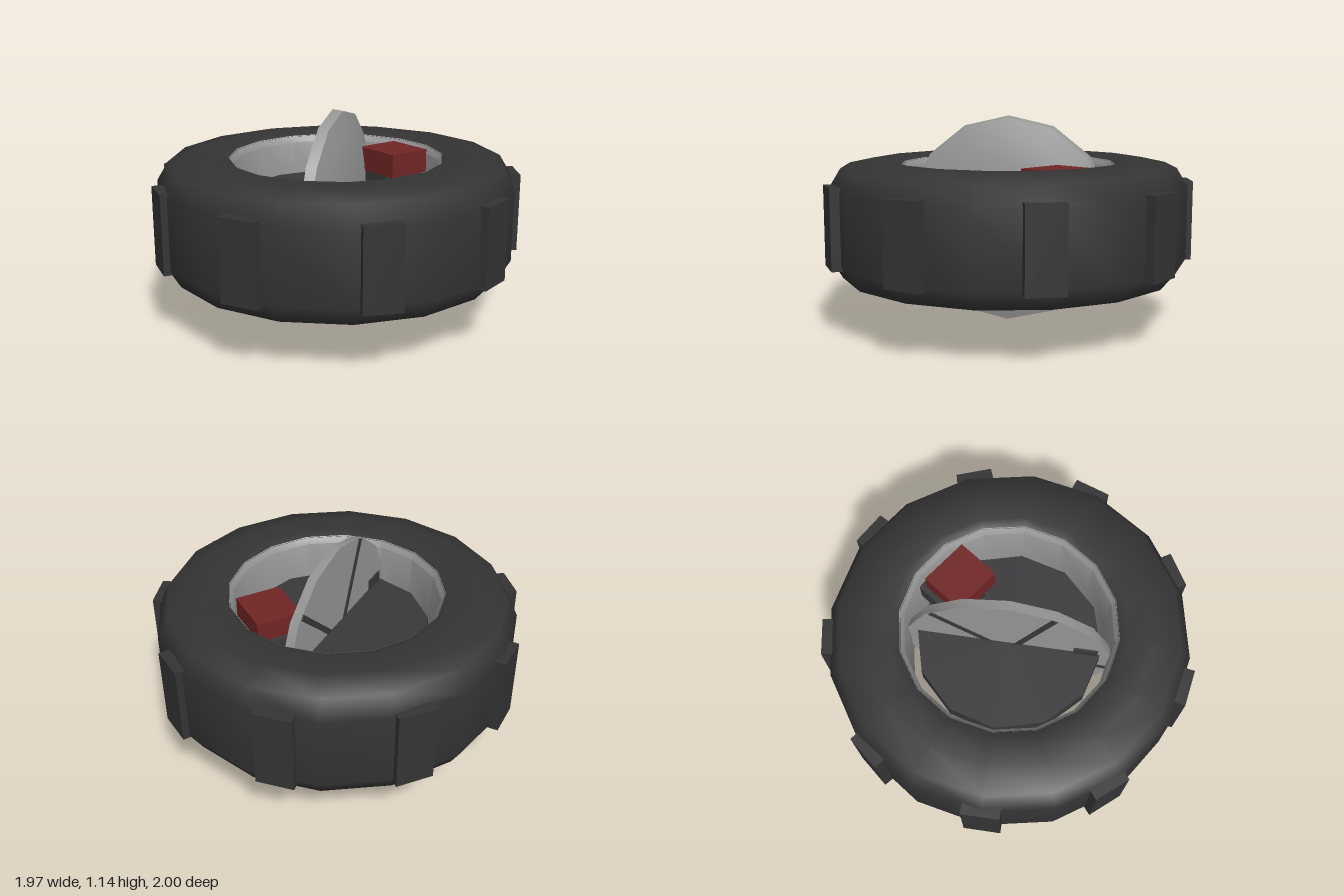
import * as THREE from 'three';
import { toCreasedNormals } from 'three/addons/utils/BufferGeometryUtils.js';

export function createModel() {
  const model = new THREE.Group();
  const mat = (name, color) => {
    const m = new THREE.MeshStandardMaterial({ color });
    m.name = name;
    return m;
  };
  const rubber = mat('dark rubber', 0x343434);
  const darkMetal = mat('dark metal', 0x39393b);
  const metal = mat('light metal', 0x979797);
  metal.side = THREE.DoubleSide;
  const red = mat('dark red', 0x712525);

  const add = (name, geo, material, x = 0, y = 0, z = 0, parent = model) => {
    const mesh = new THREE.Mesh(geo, material);
    mesh.name = name;
    mesh.position.set(x, y, z);
    parent.add(mesh);
    return mesh;
  };
  const lathe = (pts, sides, start = 0) =>
    new THREE.LatheGeometry(pts.map(([r, y]) => new THREE.Vector2(r, y)), sides, start);

  const CX = 0.01, MID = 0.575;

  // Tyre lying on its side
  add('tyre', lathe([
    [0.58, 0.28], [0.63, 0.25], [0.77, 0.25], [0.91, 0.28], [0.97, 0.38],
    [0.97, 0.77], [0.91, 0.87], [0.77, 0.9], [0.63, 0.9], [0.58, 0.88],
  ], 16), rubber, CX);

  // Inner rim wall
  add('rim', toCreasedNormals(lathe([
    [0.585, 0.885], [0.56, 0.85], [0.55, MID], [0.56, 0.3], [0.585, 0.27],
  ], 16), 0.6), metal, CX);

  // Nine tread blocks around the tyre
  const treads = new THREE.Group();
  treads.name = 'treadBlocks';
  treads.position.set(CX, MID, 0);
  for (let i = 0; i < 9; i++) {
    const a = Math.PI + (i * Math.PI * 2) / 9;
    const t = add('treadBlock', new THREE.BoxGeometry(0.08, 0.43, 0.2), rubber,
      Math.cos(a) * 0.957, 0, Math.sin(a) * 0.957, treads);
    t.rotation.y = -a;
  }
  model.add(treads);

  // Flat hub plate across the hole
  add('hubPlate', new THREE.CylinderGeometry(0.505, 0.505, 0.1, 12), darkMetal, CX, 0.63, 0);

  // Upright domed disc
  const disc = new THREE.Group();
  disc.name = 'uprightDisc';
  disc.position.set(0, 0.57, 0);
  model.add(disc);
  const dome = lathe([
    [0, -0.01], [0.57, -0.01], [0.56, 0.045], [0.45, 0.075],
    [0.33, 0.1], [0.17, 0.112], [0, 0.117],
  ], 14, -Math.PI / 2);
  dome.rotateZ(-Math.PI / 2);
  add('dome', toCreasedNormals(dome, 0.7), metal, 0, 0, 0, disc);

  // Radial grooves on the flat side of the disc
  for (let i = 0; i < 5; i++) {
    const a = THREE.MathUtils.degToRad(25 + i * 72);
    const g = add('groove', new THREE.BoxGeometry(0.008, 0.45, 0.032), darkMetal,
      -0.011, Math.cos(a) * 0.335, Math.sin(a) * 0.335, disc);
    g.rotation.x = a;
  }
  // Small lug on the domed side, below the plate
  add('lug', new THREE.BoxGeometry(0.1, 0.1, 0.15), metal, 0.12, -0.2, 0.01, disc);
  // Clamp through the disc near its edge
  add('clamp', new THREE.BoxGeometry(0.1, 0.28, 0.13), darkMetal, 0.03, 0.03, 0.42, disc);

  // Red block on a dark mount beside the disc
  const block = new THREE.Group();
  block.name = 'sideBlock';
  block.position.set(0.255, 0, -0.3);
  block.rotation.y = -0.61;
  model.add(block);
  add('redBlock', new THREE.BoxGeometry(0.28, 0.13, 0.25), red, 0, 0.815, 0, block);
  add('mount', new THREE.BoxGeometry(0.24, 0.1, 0.27), darkMetal, -0.05, 0.72, -0.02, block);

  return model;
}
